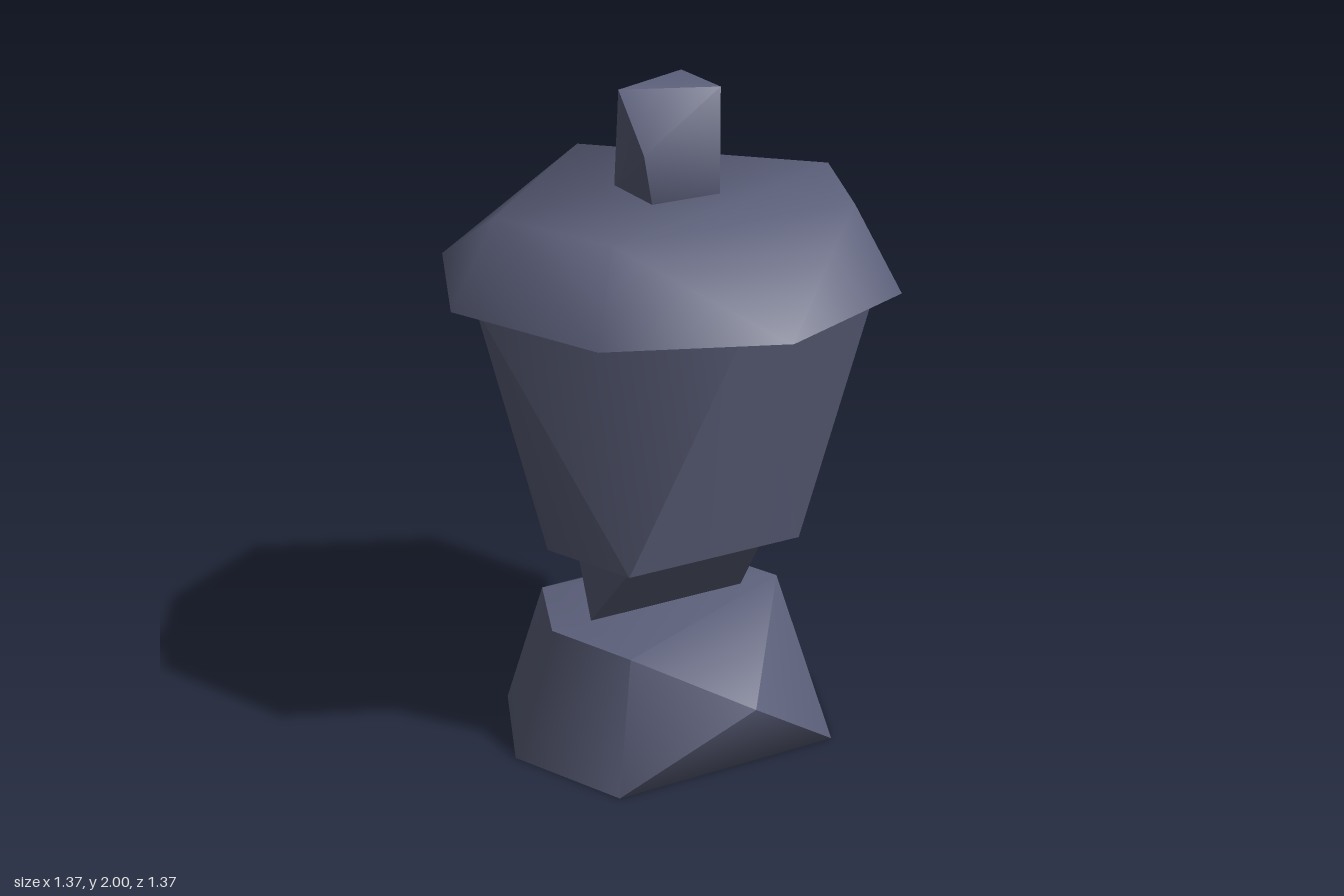
import * as THREE from 'three';
import { toCreasedNormals } from 'three/addons/utils/BufferGeometryUtils.js';
import { ConvexGeometry } from 'three/addons/geometries/ConvexGeometry.js';

const CREASE = 1.15;

// Turns [x, z] corners into points at height y
const level = (y, corners) => corners.map(([x, z]) => new THREE.Vector3(x, y, z));

// Solid hull over a few cross-sections
const hull = (...levels) => toCreasedNormals(new ConvexGeometry(levels.flat()), CREASE);

// Tapering body: six-sided foot, irregular rim with a valley at the back corner
function bodyGeometry() {
  const foot = level(0.655, [[0.4, 0], [0.285, 0.285], [-0.285, 0.285], [-0.4, 0], [-0.285, -0.285], [0.285, -0.285]]);
  const rim = level(1.44, [[0.61, 0], [0.43, 0.43], [0, 0.465], [-0.61, 0], [0, -0.61], [0.19, -0.424], [0, 0], [0.46, -0.18]]);
  const f = (i) => foot[i % foot.length];
  const r = (i) => rim[i % rim.length];
  const points = [];
  // Walk around both loops; 'f' steps along the foot, 'r' along the rim
  let a = 0, b = 0;
  for (const step of 'frrfrffrfrrrrf') {
    if (step === 'f') points.push(f(a), r(b), f(++a));
    else points.push(r(b), r(++b), f(a));
  }
  // Underside
  for (let i = 1; i < foot.length - 1; i++) points.push(foot[0], foot[i], foot[i + 1]);
  const geometry = new THREE.BufferGeometry().setFromPoints(points);
  return toCreasedNormals(geometry, CREASE);
}

export function createModel() {
  const group = new THREE.Group();
  const slate = new THREE.MeshStandardMaterial({ color: 0x5a5e78 });
  slate.name = 'slate';
  slate.side = THREE.DoubleSide;

  const add = (name, geometry) => {
    const mesh = new THREE.Mesh(geometry, slate);
    mesh.name = name;
    group.add(mesh);
  };

  // Base with a ridge point at the front and the back
  add('base', hull(
    level(0, [[0.52, 0], [0.365, 0.365], [-0.365, 0.365], [-0.52, 0], [-0.365, -0.365]]),
    level(0.265, [[0, 0.52], [0, -0.52]]),
    level(0.39, [[0.39, 0], [-0.28, 0.28], [-0.39, 0], [-0.28, -0.28], [0.28, -0.28]]),
  ));

  // Wedge-shaped neck standing on its edge
  add('neck', hull(
    level(0.392, [[-0.26, 0], [0.26, 0]]),
    level(0.66, [[0.305, 0], [0.215, 0.215], [-0.215, 0.215], [-0.305, 0], [-0.215, -0.215], [0.215, -0.215]]),
  ));

  add('body', bodyGeometry());

  // Overhanging octagonal cap
  const eaves = [];
  for (let i = 0; i < 8; i++) {
    const t = (i * Math.PI) / 4;
    eaves.push([0.685 * Math.cos(t), 0.685 * Math.sin(t)]);
  }
  add('cap', hull(
    level(1.44, eaves),
    level(1.69, [[0.545, 0], [0.385, 0.385], [-0.385, 0.385], [-0.545, 0], [0, -0.545]]),
  ));

  // Irregular knob
  add('knob', hull(
    level(1.69, [[0.11, 0.11], [-0.11, 0.11], [-0.11, -0.11], [0.11, -0.11]]),
    level(1.85, [[-0.163, 0.16]]),
    level(2, [[0.11, 0.11], [-0.155, 0], [0.11, -0.11]]),
  ));

  return group;
}
